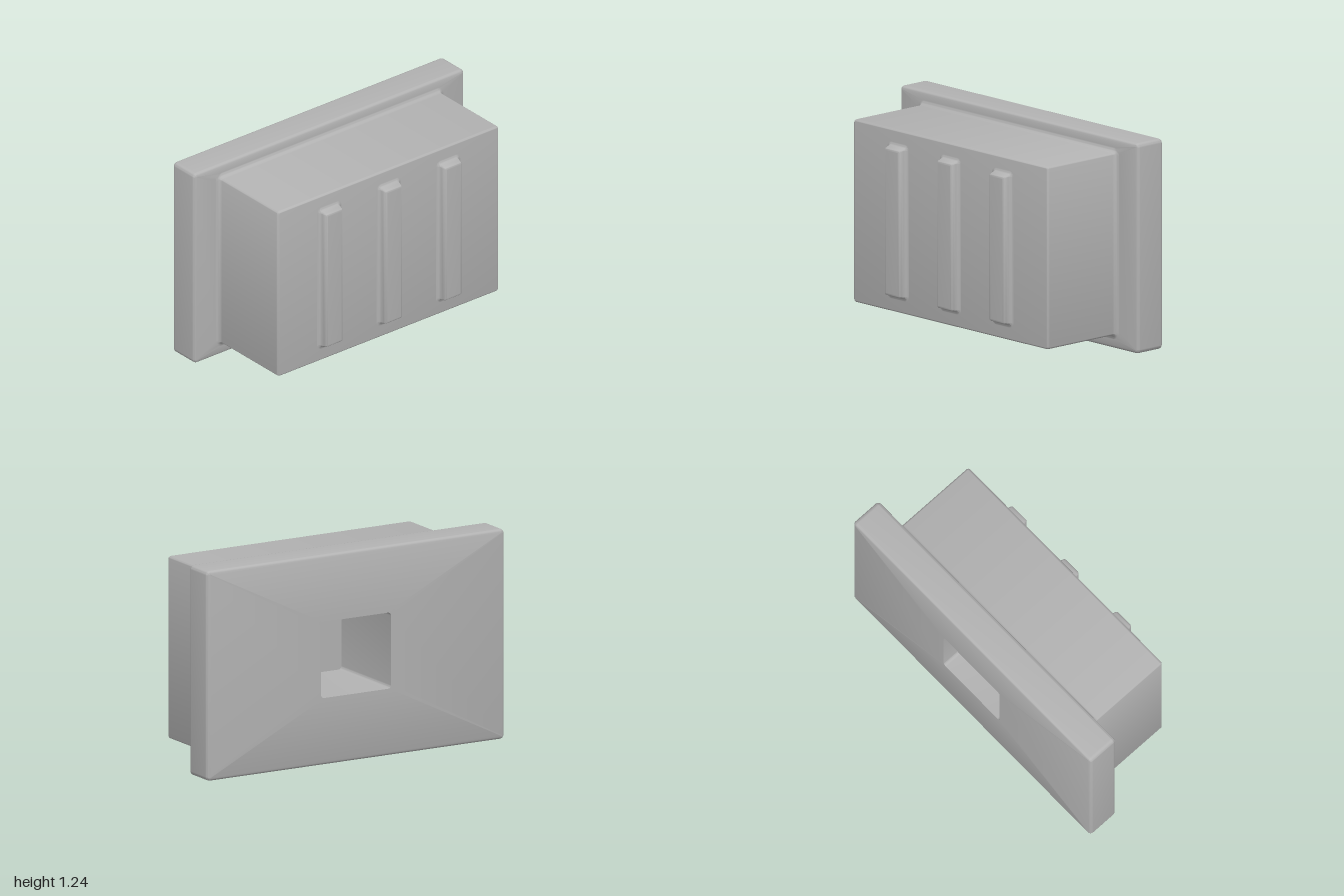
import * as THREE from 'three';
import { toCreasedNormals } from 'three/addons/utils/BufferGeometryUtils.js';

const CENTRE_Y = 0.62;

// Rounded rectangle in the zy plane at a given x: half sizes hz, hy and corner radius r
function ring([x, hz, hy, r], cz) {
  const points = [], steps = 5;
  for (let q = 0; q < 4; q++) {
    const sz = q === 0 || q === 3 ? 1 : -1, sy = q < 2 ? 1 : -1;
    for (let k = 0; k <= steps; k++) {
      const a = (q + k / steps) * Math.PI / 2;
      points.push([x, CENTRE_Y + sy * (hy - r) + r * Math.sin(a), cz + sz * (hz - r) + r * Math.cos(a)]);
    }
  }
  return points;
}

// Skin a list of sections, in order
function loft(sections, cz = 0) {
  const rings = sections.map((s) => ring(s, cz));
  const pos = [], n = rings[0].length;
  for (let i = 0; i < rings.length - 1; i++) {
    for (let j = 0; j < n; j++) {
      const k = (j + 1) % n;
      const a = rings[i][j], b = rings[i][k], c = rings[i + 1][j], d = rings[i + 1][k];
      pos.push(...a, ...c, ...b, ...b, ...c, ...d);
    }
  }
  const g = new THREE.BufferGeometry();
  g.setAttribute('position', new THREE.Float32BufferAttribute(pos, 3));
  return toCreasedNormals(g, 0.6);
}

// Sections of a quarter-round running from angle t0 to t1 about centre x = cx;
// grow = distance of the arc centre from the wall of the base rectangle
function arc(cx, hz, hy, corner, grow, radius, t0, t1) {
  const out = [], steps = 6;
  for (let i = 0; i <= steps; i++) {
    const t = t0 + (t1 - t0) * i / steps;
    const o = grow + radius * Math.sin(t);
    out.push([cx + radius * Math.cos(t), hz + o, hy + o, Math.max(0.003, corner + o)]);
  }
  return out;
}

export function createModel() {
  const model = new THREE.Group();
  const grey = new THREE.MeshStandardMaterial({ color: 0xb2b2b2 });
  grey.name = 'plain grey';
  const add = (name, geometry) => {
    const mesh = new THREE.Mesh(geometry, grey);
    mesh.name = name;
    model.add(mesh);
  };
  const PI = Math.PI, H = PI / 2;
  const back = -0.395, step = -0.195, face = 0.342, top = 0.393;

  // Flange with its socket, and the block blended on to it, in one skin
  const e = 0.02, f = 0.028;
  add('flangedBlock', loft([
    [0.15, 0, 0, 0],
    [0.15, 0.235, 0.225, 0.02],
    [back, 0.235, 0.225, 0.02],
    ...arc(back + e, 1, 0.62, 0.025, -e, e, PI, H),
    ...arc(step - e, 1, 0.62, 0.025, -e, e, H, 0),
    ...arc(step + f, 0.818, 0.539, 0.018, f, f, PI, PI + H),
    ...arc(face - 0.015, 0.818, 0.539, 0.018, -0.015, 0.015, H, 0),
    [face, 0, 0, 0],
  ]));

  // Three upright grip ribs with blended feet and rounded crests
  for (const z of [-0.44, 0, 0.44]) {
    add('gripRib', loft([
      ...arc(face + 0.022, 0.068, 0.441, 0.012, 0.022, 0.022, PI, PI + H),
      ...arc(top - 0.016, 0.065, 0.436, 0.012, -0.016, 0.016, H, 0),
      [top, 0, 0, 0],
    ], z));
  }
  return model;
}
